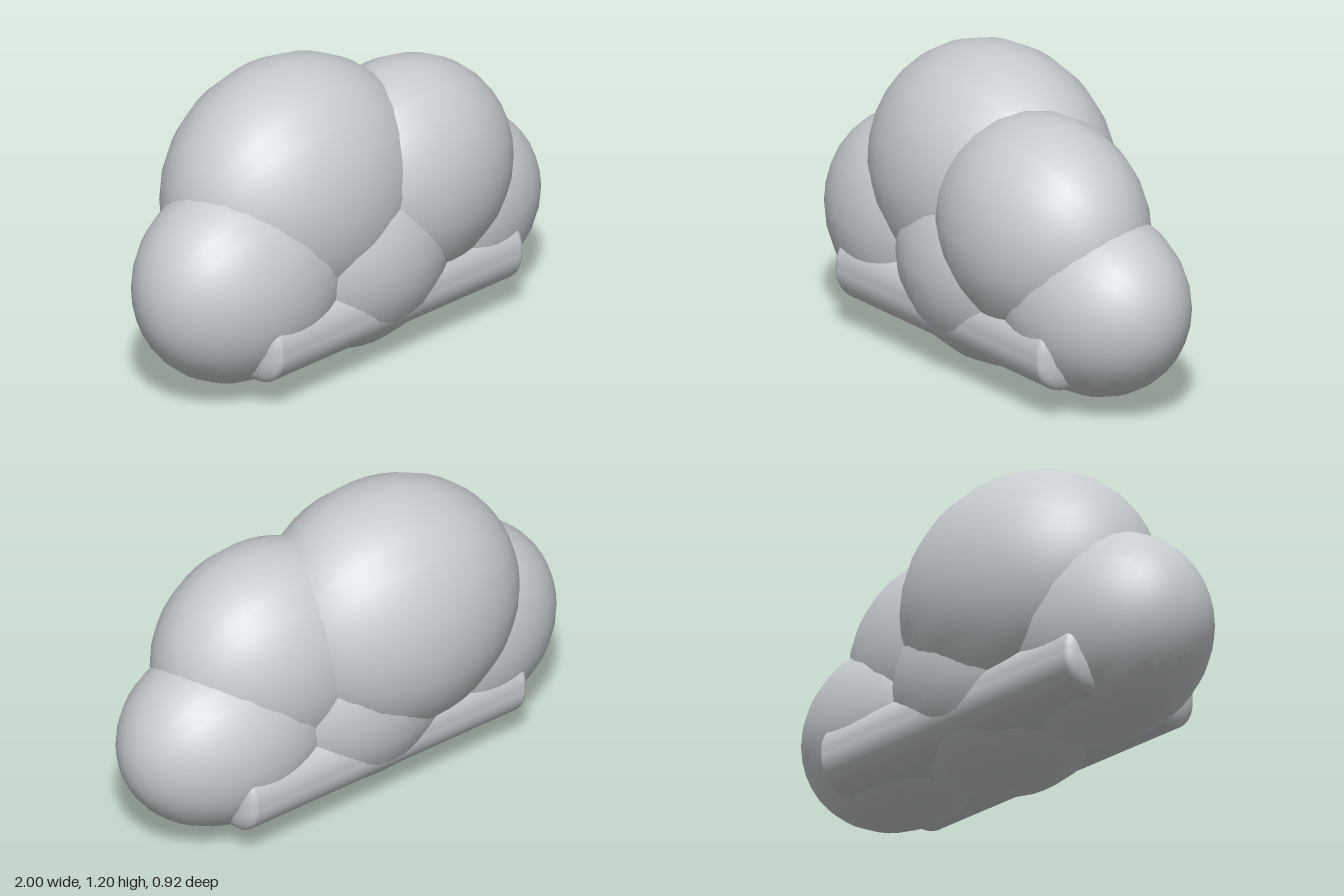
import * as THREE from 'three';
import { RoundedBoxGeometry } from 'three/addons/geometries/RoundedBoxGeometry.js';

export function createModel() {
  const group = new THREE.Group();
  const cloudGrey = new THREE.MeshStandardMaterial({ color: 0xc6cbce });
  cloudGrey.name = 'cloudGrey';

  // Shared puff: a smooth unit sphere with its poles along x
  const ball = new THREE.SphereGeometry(1, 24, 24).rotateZ(Math.PI / 2);

  // name, centre, radii
  const puffs = [
    ['centrePuff', [0, 0.43, 0.035], [0.48, 0.425, 0.4]],
    ['rightPuff', [-0.535, 0.45, 0.03], [0.465, 0.41, 0.35]],
    ['leftPuff', [0.55, 0.41, 0.035], [0.45, 0.37, 0.335]],
    ['topRightPuff', [-0.19, 0.7, -0.03], [0.56, 0.505, 0.43]],
    ['topLeftPuff', [0.3, 0.64, 0.085], [0.48, 0.44, 0.372]],
  ];
  for (const [name, centre, radii] of puffs) {
    const puff = new THREE.Mesh(ball, cloudGrey);
    puff.name = name;
    puff.position.set(...centre);
    puff.scale.set(...radii);
    group.add(puff);
  }

  // Flat rounded slab running through the lower puffs; its ends are blunter than its long edges
  const blunt = 0.4;
  const slab = new THREE.Mesh(new RoundedBoxGeometry(1.4 / blunt, 0.285, 0.68, 5, 0.13), cloudGrey);
  slab.name = 'baseSlab';
  slab.scale.x = blunt;
  slab.position.set(0.005, 0.258, 0.033);
  group.add(slab);

  return group;
}
